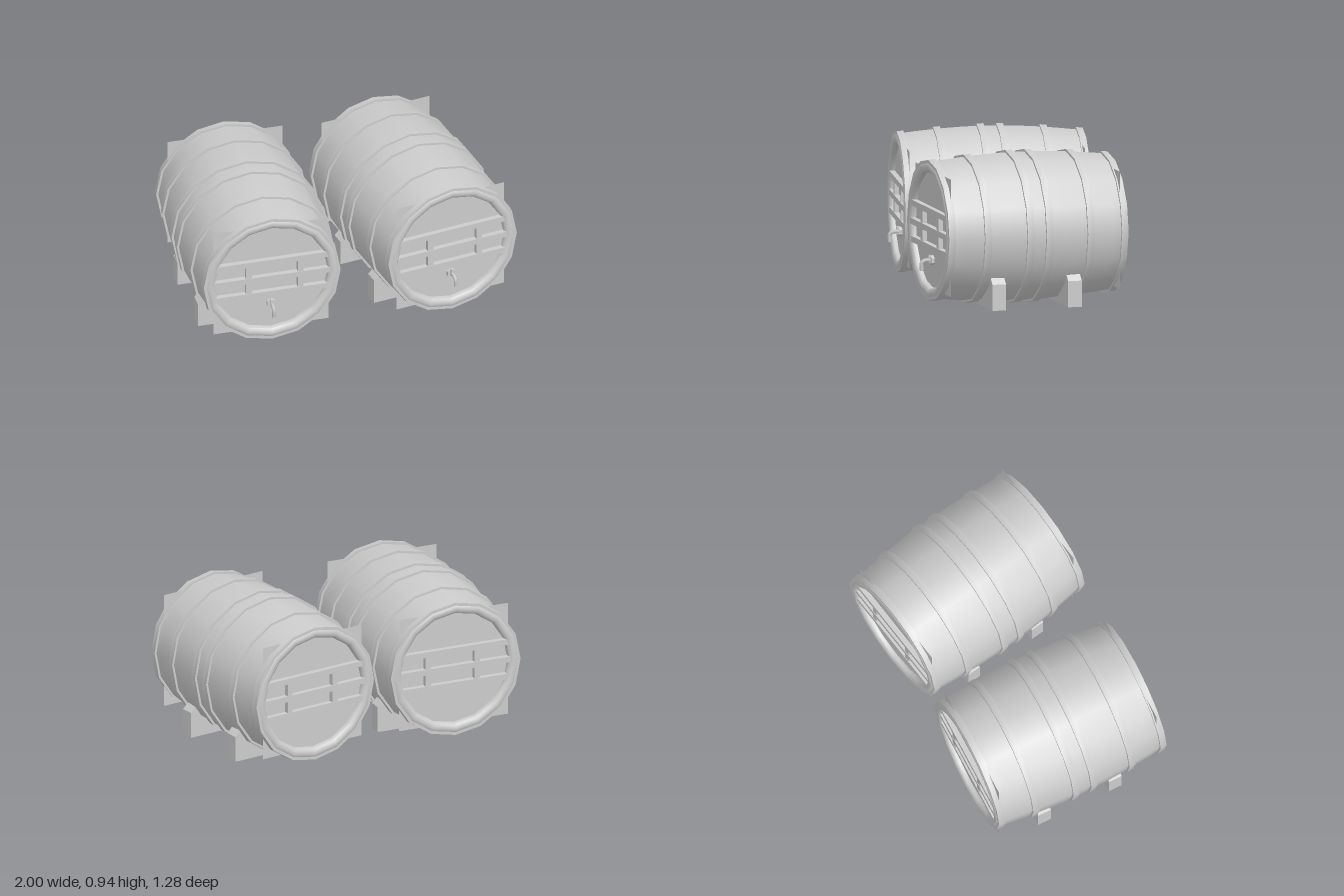
import * as THREE from 'three';
import { toCreasedNormals } from 'three/addons/utils/BufferGeometryUtils.js';

const SIDES = 16;
const AXIS_Y = 0.471;
const END_Z = 0.57;
const HEAD_Z = 0.535;
const material = new THREE.MeshStandardMaterial({ color: 0xcccccc });
const thinMaterial = new THREE.MeshStandardMaterial({ color: 0xcccccc, side: THREE.DoubleSide });

function addMesh(parent, name, geometry, x = 0, y = 0, z = 0, mat = material) {
  const mesh = new THREE.Mesh(geometry, mat);
  mesh.name = name;
  mesh.position.set(x, y, z);
  parent.add(mesh);
  return mesh;
}

// Revolves [radius, z] points around the barrel's z axis.
function revolve(points) {
  const geometry = new THREE.LatheGeometry(points.map(([r, z]) => new THREE.Vector2(r, z)), SIDES);
  geometry.rotateX(Math.PI / 2);
  return toCreasedNormals(geometry, 0.6);
}

// Stave radius, swelling towards the middle.
const bodyRadius = (z) => 0.455 - 0.04 * Math.pow(Math.abs(z) / END_Z, 1.8);

function makeHoop(z) {
  const a = z - 0.021, b = z + 0.021, t = 0.014;
  const ra = bodyRadius(a), rb = bodyRadius(b);
  return revolve([[ra - 0.01, a], [ra + t, a], [rb + t, b], [rb - 0.01, b]]);
}

// One barrel end: rim, head panel and cross battens. flip keeps battens aligned on both ends.
function makeEnd(flip) {
  const end = new THREE.Group();
  const rim = [];
  for (let i = 0; i <= 6; i++) {
    const a = (i / 6) * Math.PI;
    rim.push([0.39 + 0.034 * Math.cos(a), 0.548 + 0.026 * Math.sin(a)]);
  }
  rim.push([0.355, 0.52]);
  addMesh(end, 'rim', revolve(rim));
  addMesh(end, 'headPanel', new THREE.PlaneGeometry(0.72, 0.72), 0, 0, HEAD_Z, thinMaterial);

  const battenZ = HEAD_Z + 0.015;
  for (const y of [0.119, 0.005, -0.104]) {
    addMesh(end, 'horizontalBatten', new THREE.BoxGeometry(0.73, 0.036, 0.036), 0, y, battenZ);
  }
  for (const x of [-0.145, 0.18]) {
    for (const y of [0.062, -0.05]) {
      addMesh(end, 'verticalBatten', new THREE.BoxGeometry(0.036, 0.08, 0.03), x * flip, y, battenZ);
    }
  }
  return end;
}

function makeTap() {
  const tap = new THREE.Group();
  const collar = new THREE.CylinderGeometry(0.03, 0.03, 0.02, 6).rotateX(Math.PI / 2);
  addMesh(tap, 'tapCollar', toCreasedNormals(collar, 0.6), 0, 0, 0.01);
  const path = new THREE.CatmullRomCurve3([
    new THREE.Vector3(0, 0, 0),
    new THREE.Vector3(0, 0, 0.055),
    new THREE.Vector3(0, -0.012, 0.074),
    new THREE.Vector3(0, -0.062, 0.076),
  ]);
  addMesh(tap, 'tapSpout', new THREE.TubeGeometry(path, 10, 0.012, 6), 0, 0, 0, thinMaterial);
  addMesh(tap, 'tapValve', new THREE.BoxGeometry(0.014, 0.045, 0.016), 0, 0.01, 0.026);
  return tap;
}

// Cradle beam with chamfered ends and a hollow that follows the barrel.
function makeCradle() {
  const outline = [[-0.39, 0.02], [0.39, 0.02], [0.39, 0.18], [0.355, 0.215], [0.33, 0.215]];
  for (let i = 0; i <= 8; i++) {
    const a = -0.76 - (i / 8) * (Math.PI - 1.52);
    outline.push([0.435 * Math.cos(a), AXIS_Y + 0.435 * Math.sin(a)]);
  }
  outline.push([-0.33, 0.215], [-0.355, 0.215], [-0.39, 0.18]);
  const shape = new THREE.Shape(outline.map(([x, y]) => new THREE.Vector2(x, y)));
  const geometry = new THREE.ExtrudeGeometry(shape, { depth: 0.086, bevelEnabled: false });
  return geometry.translate(0, 0, -0.043);
}

function makeBarrel(name) {
  const barrel = new THREE.Group();
  barrel.name = name;
  const cask = new THREE.Group();
  cask.name = 'cask';
  cask.position.y = AXIS_Y;
  barrel.add(cask);

  // Staves
  const profile = [];
  for (let i = 0; i <= 12; i++) {
    const z = -0.56 + (1.12 * i) / 12;
    profile.push([bodyRadius(z), z]);
  }
  addMesh(cask, 'staves', revolve(profile));

  // Hoops
  for (const side of [-1, 1]) {
    for (const z of [0.06, 0.325, 0.547]) addMesh(cask, 'hoop', makeHoop(side * z));
  }

  // Ends
  const front = makeEnd(1);
  front.name = 'frontEnd';
  const back = makeEnd(-1);
  back.name = 'backEnd';
  back.rotation.y = Math.PI;
  cask.add(front, back);

  const tap = makeTap();
  tap.name = 'tap';
  tap.position.set(0, -0.185, HEAD_Z);
  cask.add(tap);

  // Cradle beams
  for (const z of [-0.24, 0.24]) addMesh(barrel, 'cradleBeam', makeCradle(), 0, 0, z);
  return barrel;
}

export function createModel() {
  const model = new THREE.Group();
  model.name = 'barrelPair';
  const right = makeBarrel('rightBarrel');
  right.position.set(-0.525, 0, -0.037);
  right.rotation.y = -0.088;
  const left = makeBarrel('leftBarrel');
  left.position.set(0.517, 0, 0.016);
  left.rotation.y = 0.088;
  model.add(right, left);
  return model;
}
